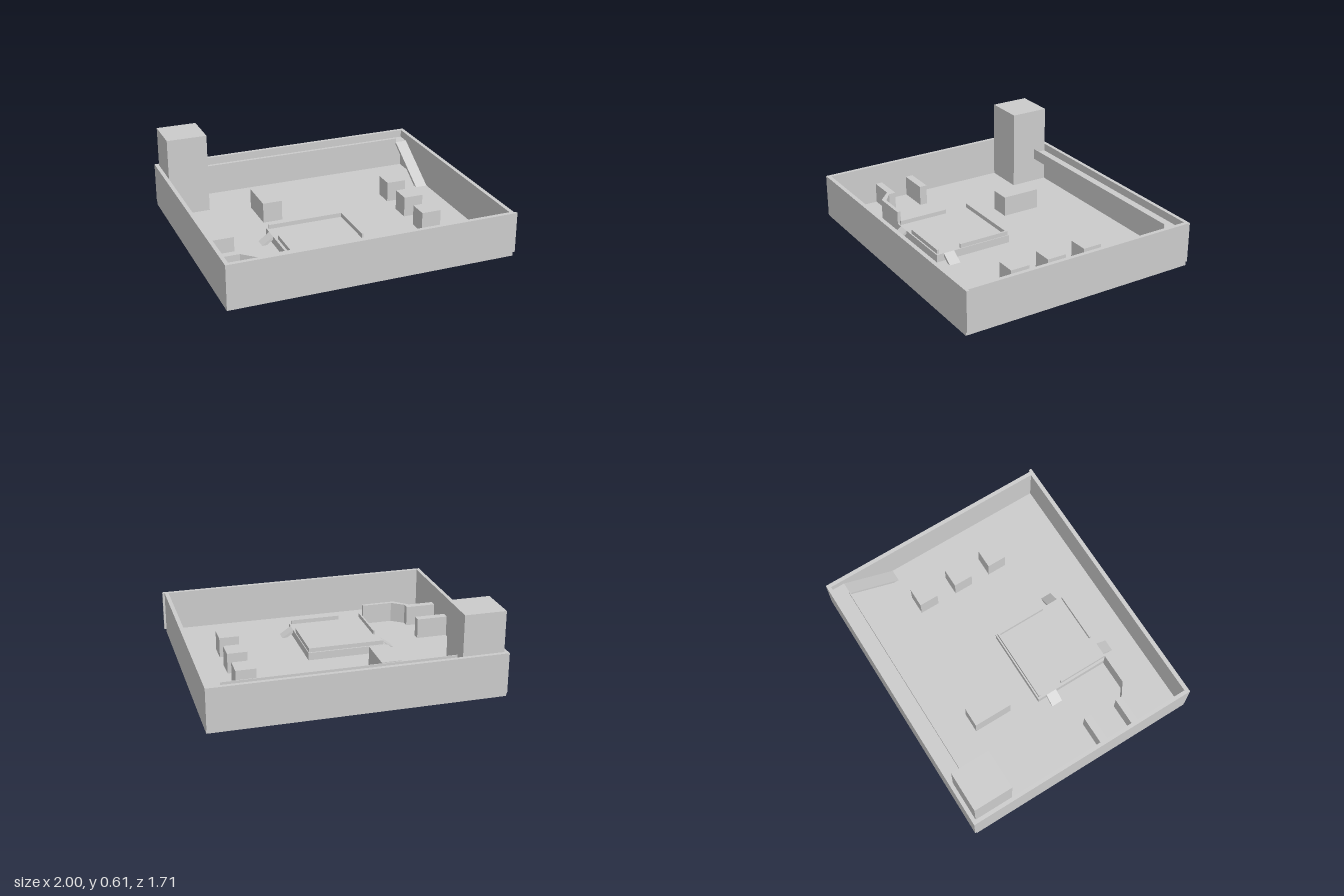
import * as THREE from 'three';

const FLOOR = 0.04, RIM = 0.325, BLOCK = 0.185, DECK = 0.095;

export function createModel() {
  const model = new THREE.Group();
  const material = new THREE.MeshStandardMaterial({ color: 0xcccccc, flatShading: true });

  const add = (name, geometry) => {
    const mesh = new THREE.Mesh(geometry, material);
    mesh.name = name;
    model.add(mesh);
    return mesh;
  };
  // box given by its limits on each axis
  const box = (name, x0, x1, y0, y1, z0, z1) => {
    const g = new THREE.BoxGeometry(x1 - x0, y1 - y0, z1 - z0);
    g.translate((x0 + x1) / 2, (y0 + y1) / 2, (z0 + z1) / 2);
    return add(name, g);
  };
  const extrude = (points, depth) => new THREE.ExtrudeGeometry(
    new THREE.Shape(points.map(([x, y]) => new THREE.Vector2(x, y))), { depth, bevelEnabled: false });
  // thin sloping plate that runs along local +x from its top edge and pierces the floor
  const ramp = (name, x, z, turn, run, top, width) => {
    const g = extrude([[0, top], [0, top - 0.022], [run - 0.012, 0], [run, 0.018]], width);
    g.translate(0, 0, -width / 2);
    const mesh = add(name, g);
    mesh.position.set(x, 0, z);
    mesh.rotation.y = turn;
  };

  // tray: floor and overlapping wall panels
  box('floor', -1, 0.985, 0.015, FLOOR, -0.845, 0.857);
  box('frontWall', -1, 0.985, FLOOR, RIM, 0.828, 0.857);
  box('frontWallLip', 0.985, 1, FLOOR, RIM, 0.838, 0.857);
  box('backWall', -1, 0.985, FLOOR, RIM, -0.857, -0.83);
  box('leftWall', 0.957, 0.985, FLOOR, RIM, -0.83, 0.828);
  box('rightWall', -1, -0.973, FLOOR, RIM, -0.83, 0.828);

  // corner tower, raised walkway with parapet, long ramp
  box('tower', -0.973, -0.688, FLOOR, 0.61, -0.83, -0.55);
  box('walkway', -0.688, 0.957, 0.22, 0.27, -0.83, -0.735);
  box('walkwayParapet', -0.688, 0.87, 0.27, 0.3, -0.741, -0.735);
  ramp('walkwayRamp', 0.9135, -0.735, -Math.PI / 2, 0.407, 0.27, 0.087);

  // free-standing blocks
  box('longBlock', -0.4, -0.26, FLOOR, BLOCK, -0.48, -0.2);
  for (const z of [-0.28, 0.005, 0.287]) box('cubeBlock', 0.56, 0.7, FLOOR, BLOCK, z - 0.07, z + 0.07);

  // partition walls
  box('straightPartition', -0.973, -0.75, FLOOR, BLOCK, 0.175, 0.23);
  const bent = extrude([
    [-0.973, -0.43], [-0.973, -0.48], [-0.79, -0.48], [-0.695, -0.57],
    [-0.45, -0.57], [-0.45, -0.545], [-0.67, -0.545], [-0.755, -0.48], [-0.755, -0.43],
  ], BLOCK - FLOOR);
  bent.rotateX(-Math.PI / 2);
  bent.translate(0, FLOOR, 0);
  add('bentPartition', bent);

  // low platform with parapets, open where its ramps meet it
  box('platform', -0.45, 0.115, FLOOR, DECK, 0, 0.57);
  const parapets = [
    [-0.435, 0.109, 0.01, 0.023], [0.096, 0.109, 0.023, 0.385],
    [-0.432, -0.42, 0.197, 0.56], [-0.26, 0.102, 0.547, 0.56],
  ];
  for (const [x0, x1, z0, z1] of parapets) box('platformParapet', x0, x1, DECK, 0.125, z0, z1);
  ramp('platformFrontRamp', -0.36, 0.57, -Math.PI / 2, 0.115, DECK, 0.085);
  ramp('platformLeftRamp', 0.115, 0.477, 0, 0.115, DECK, 0.08);
  ramp('platformRightRamp', -0.45, 0.105, Math.PI, 0.11, DECK, 0.08);

  return model;
}
